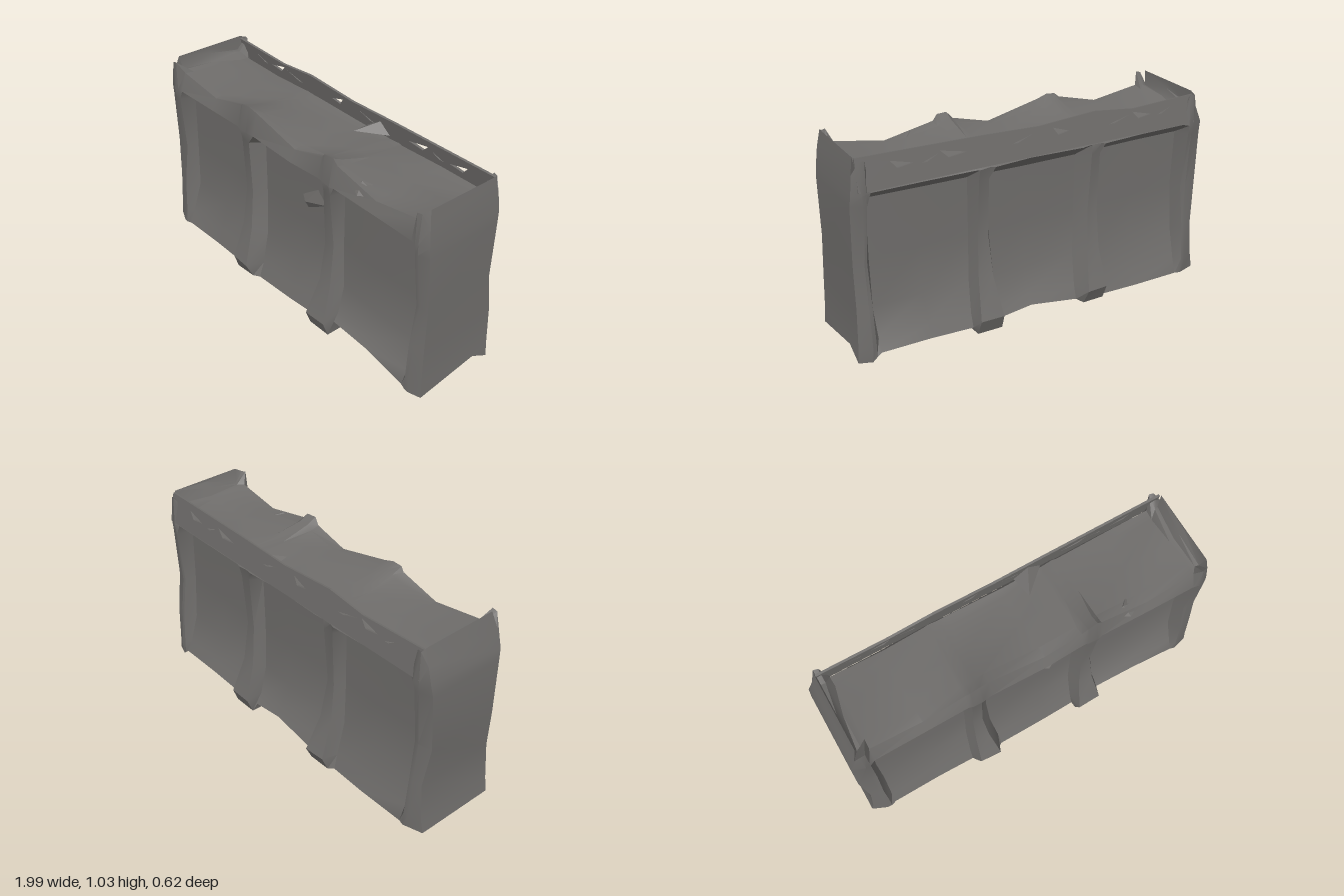
import * as THREE from 'three';
import { toCreasedNormals } from 'three/addons/utils/BufferGeometryUtils.js';
import { ConvexGeometry } from 'three/addons/geometries/ConvexGeometry.js';

const stone = new THREE.MeshStandardMaterial({ color: 0x6f6d6b, side: THREE.DoubleSide });
stone.name = 'dark stone';

// half profiles as [y, depth], from the foot up to the inner rim
const POST = [[0, .27], [.08, .305], [.28, .235], [.5, .207], [.8, .225], [.86, .238], [.92, .21], [.92, .16]];
const BAY = [[0, .245], [.08, .218], [.25, .165], [.5, .155], [.8, .155], [.86, .235], [.92, .205], [.92, .155]];
const END = [[0, .25], [.08, .25], [.28, .235], [.5, .21], [.8, .235], [.86, .245], [1.02, .235], [.96, .18]];
const CAP = [[0, .225], [.08, .225], [.28, .22], [.5, .2], [.8, .215], [.86, .22], [.95, .215], [1.03, .2]];
const CAP_LEFT = [-1, -.985, -.97, -.995, -.99, -.985, -.955, -.93];
const CAP_RIGHT = [.99, .985, .98, .975, .975, .97, .96, .945];

// a vertical edge that swings sideways towards the foot
const flare = (x, d) => [1, .9, .3, 0, 0, 0, 0, 0].map(k => x + d * k);

// stations along the wall: [x, profile, ridge height, front rim height, front foot lift, back foot lift]
const stations = [
  [CAP_LEFT, CAP, 1.02, 1.03, 0, 0],
  [-.925, END, .99, 1.02, 0, 0],
  [-.9, END, .95, .98, 0, 0],
  [-.87, BAY, .94, .96, 0, 0],
  [-.6, BAY, .93, .92, 0, 0],
  [flare(-.375, -.02), BAY, .935, .975, 0, 0],
  [flare(-.352, -.02), POST, .935, .995, 0, 0],
  [flare(-.3, .05), POST, .935, 1.0, 0, 0],
  [flare(-.247, .03), BAY, .935, .985, 0, .02],
  [.05, BAY, .93, .915, .015, .06],
  [flare(.25, -.02), BAY, .935, .965, .03, .04],
  [flare(.28, -.04), POST, .935, 1.0, 0, 0],
  [flare(.335, .04), POST, .935, 1.0, 0, 0],
  [flare(.36, .03), BAY, .935, .97, .08, .03],
  [.62, BAY, .93, .915, .07, .04],
  [.88, BAY, .94, .96, .02, .04],
  [.905, END, .95, .98, .01, .02],
  [.925, END, .99, 1.02, 0, 0],
  [CAP_RIGHT, CAP, 1.02, 1.03, 0, 0],
];

function seeded(seed) {
  return () => (seed = (seed * 16807) % 2147483647) / 2147483647;
}

// closed cross-section: up the front, over the ridge, down the back, under the base
function section([x, profile, ridge, rim, liftFront, liftBack], rnd) {
  const wobble = () => (rnd() - .5) * .01;
  const at = i => Array.isArray(x) ? x[i] : x + wobble() * .7;
  const onBay = profile === BAY || profile === POST;
  const height = (y, i, s, lift) => {
    if (i === 0) return lift;
    if (i === 1) return y + lift * .5;
    if (i >= 6 && s > 0 && onBay) return rim - (i - 6) * (rim - ridge) * .4;
    return y + wobble();
  };
  const side = (s, lift) => profile.map(([y, z], i) =>
    new THREE.Vector3(at(i), height(y, i, s, lift), s * z + wobble()));
  const base = x === CAP_RIGHT ? [.055, -.12] : [0, 0];
  return [...side(1, liftFront), new THREE.Vector3(at(7), ridge, 0),
    ...side(-1, liftBack).reverse(), new THREE.Vector3(at(0), ...base)];
}

function wallGeometry() {
  const rnd = seeded(71), loops = stations.map(s => section(s, rnd)), pos = [];
  const tri = (...p) => p.forEach(v => pos.push(v.x, v.y, v.z));
  const quad = (a, b, c, d) => { tri(a, b, c); tri(a, c, d); };
  const n = loops[0].length;
  for (let i = 0; i < loops.length - 1; i++)
    for (let j = 0; j < n; j++) {
      const k = (j + 1) % n;
      quad(loops[i][j], loops[i + 1][j], loops[i + 1][k], loops[i][k]);
    }
  // end faces
  const cap = (l, flip) => {
    const put = (a, b, c) => flip ? tri(a, c, b) : tri(a, b, c);
    put(l[17], l[16], l[15]);
    put(l[17], l[15], l[1]);
    put(l[17], l[1], l[0]);
    for (let i = 1; i < 7; i++) {
      put(l[i], l[16 - i], l[15 - i]);
      put(l[i], l[15 - i], l[i + 1]);
    }
    put(l[7], l[9], l[8]);
  };
  cap(loops[0], true);
  cap(loops.at(-1), false);
  const g = new THREE.BufferGeometry();
  g.setAttribute('position', new THREE.Float32BufferAttribute(pos, 3));
  return toCreasedNormals(g, .5);
}

// pierced rim leaning along the back of the top, measured up from its lower edge
function rimGeometry() {
  const s = new THREE.Shape([[-.93, 0], [.94, 0], [.94, .16], [.3, .15], [0, .14], [-.32, .16], [-.55, .135], [-.93, .15]]
    .map(p => new THREE.Vector2(...p)));
  [-.74, -.6, -.46, -.12, .1, .46, .58, .72].forEach((x, i) => {
    const w = .045 + (i % 3) * .012, t = i % 2 ? 1 : -1;
    s.holes.push(new THREE.Path([[x - w, .1 - t * .01], [x + w, .1 + t * .02], [x + w * .4, .08]]
      .map(p => new THREE.Vector2(...p))));
  });
  return new THREE.ExtrudeGeometry(s, { depth: .012, bevelEnabled: false });
}

export function createModel() {
  const group = new THREE.Group();
  group.name = 'stoneWall';
  const add = (geometry, name) => {
    const m = new THREE.Mesh(geometry, stone);
    m.name = name;
    group.add(m);
    return m;
  };

  add(wallGeometry(), 'wallBody');
  const rim = add(rimGeometry(), 'piercedBackRim');
  rim.position.set(0, .87, -.242);
  rim.rotation.x = .18;

  // broken shards: in the middle recess and along the rims
  const shards = {
    recessShard: [[.04, .64, .15], [.25, .66, .15], [.09, .57, .15], [.18, .74, .15], [.1, .63, .185]],
    frontRimShard: [[.44, .92, .19], [.6, .91, .18], [.5, .95, .18], [.52, .9, .23], [.54, .93, .14]],
    backRimShard: [[.12, .93, -.21], [.27, .93, -.21], [.14, .945, -.09], [.2, .98, -.21]],
  };
  for (const [name, pts] of Object.entries(shards))
    add(new ConvexGeometry(pts.map(p => new THREE.Vector3(...p))), name);

  return group;
}
